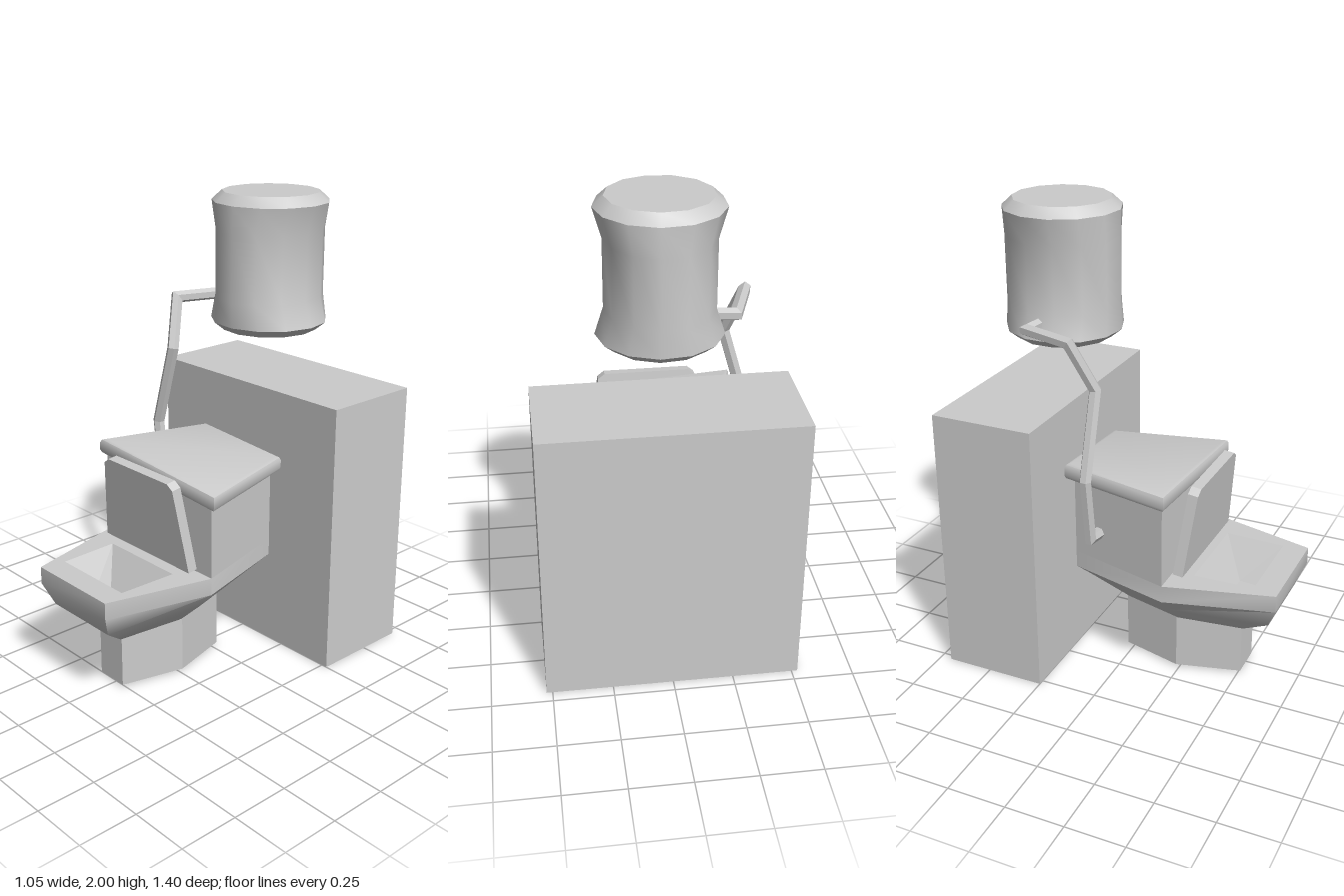
import * as THREE from 'three';
import { toCreasedNormals } from 'three/addons/utils/BufferGeometryUtils.js';

const V = (x, y, z) => new THREE.Vector3(x, y, z);
const CX = -0.0175; // centre line of the bowl, tank and lid

// Skin a list of equal-length rings, optionally closing the two ends.
function loft(rings, capStart = true, capEnd = true) {
  const pos = [];
  const tri = (...pts) => pts.forEach((p) => pos.push(p.x, p.y, p.z));
  const n = rings[0].length;
  for (let i = 0; i < rings.length - 1; i++) {
    for (let j = 0; j < n; j++) {
      const k = (j + 1) % n;
      const [a, b, c, d] = [rings[i][j], rings[i][k], rings[i + 1][k], rings[i + 1][j]];
      tri(a, b, c);
      tri(a, c, d);
    }
  }
  const first = rings[0], last = rings[rings.length - 1];
  for (let j = 1; j < n - 1; j++) {
    if (capStart) tri(first[0], first[j + 1], first[j]);
    if (capEnd) tri(last[0], last[j], last[j + 1]);
  }
  const geo = new THREE.BufferGeometry();
  geo.setAttribute('position', new THREE.Float32BufferAttribute(pos, 3));
  geo.computeVertexNormals();
  return geo;
}

// Mirrored ring from [z, halfWidth, y] stations, front to back.
function ring(...stations) {
  const right = stations.map(([z, w, y]) => V(CX + w, y, z));
  const left = stations.map(([z, w, y]) => V(CX - w, y, z)).reverse();
  return [...right, ...left];
}

// Mitred sweep of a regular polygon along a polyline.
function pipe(points, radius, sides) {
  const dirs = points.slice(1).map((p, i) => p.clone().sub(points[i]).normalize());
  const u = V(0, 1, 0).cross(dirs[0]).normalize();
  const v = dirs[0].clone().cross(u);
  const rings = [Array.from({ length: sides }, (_, j) => {
    const t = ((j + 0.5) / sides) * Math.PI * 2;
    return points[0].clone().addScaledVector(u, radius * Math.cos(t)).addScaledVector(v, radius * Math.sin(t));
  })];
  for (let i = 1; i < points.length; i++) {
    const d = dirs[i - 1];
    const normal = d.clone().add(dirs[i] || d).normalize();
    rings.push(rings[i - 1].map((p) => {
      const s = points[i].clone().sub(p).dot(normal) / d.dot(normal);
      return p.clone().addScaledVector(d, s);
    }));
  }
  return loft(rings);
}

const outline = (pts) => new THREE.Shape(pts.map(([x, y]) => new THREE.Vector2(x, y)));

export function createModel() {
  const model = new THREE.Group();
  const material = new THREE.MeshStandardMaterial({ color: 0xcccccc, side: THREE.DoubleSide });
  const add = (name, geo) => {
    const mesh = new THREE.Mesh(geo, material);
    mesh.name = name;
    model.add(mesh);
    return mesh;
  };

  // Block behind the bowl
  add('wallBlock', new THREE.BoxGeometry(1.05, 1.185, 0.45)).position.set(0, 0.5925, -0.475);

  // Hexagonal foot
  const foot = (yf, y) => ring([0.51, 0.073, yf], [0.235, 0.143, y], [-0.03, 0.073, y]);
  add('foot', loft([foot(0.01, 0.01), foot(0.24, 0.265)]));

  // Flared bowl with an upright rim
  const rim = (y) => ring([0.7, 0.218, y], [0.245, 0.338, y], [-0.207, 0.218, y]);
  add('bowl', toCreasedNormals(loft([
    ring([0.515, 0.073, 0.23], [0.24, 0.143, 0.255], [-0.02, 0.073, 0.255]),
    ring([0.66, 0.18, 0.35], [0.245, 0.27, 0.37], [-0.165, 0.18, 0.4]),
    rim(0.445),
    rim(0.52),
  ], true, false), 0.6));

  // Rim top with its opening, and the tapered basin inside
  const mouth = ring([0.595, 0.192, 0.52], [0.335, 0.2, 0.52]);
  const floor = ring([0.55, 0.077, 0.36], [0.437, 0.089, 0.36]);
  const flat = (pts) => outline(pts.map((p) => [p.x, -p.z]));
  const rimTop = flat(rim(0));
  rimTop.holes.push(flat(mouth));
  add('rimTop', new THREE.ShapeGeometry(rimTop).rotateX(-Math.PI / 2).translate(0, 0.52, 0));
  add('basin', loft([mouth, floor], false, true));

  // Tank tapering towards the back; its top follows the tilted lid
  const tank = (y, slope) => {
    const r = ring([0.245, 0.338, y], [-0.207, 0.218, y]);
    r.forEach((p) => { p.y -= slope * p.x; });
    return r;
  };
  add('tank', loft([tank(0.51, 0), tank(0.87, 0.07)]));

  // Tilted tank lid with rounded edges
  const lidShape = outline([[-0.347, -0.245], [0.347, -0.245], [0.225, 0.225], [-0.225, 0.225]]);
  const lidGeo = new THREE.ExtrudeGeometry(lidShape, {
    depth: 0.034, bevelSize: 0.02, bevelThickness: 0.018, bevelSegments: 2,
  }).translate(0, 0, -0.017).rotateX(-Math.PI / 2);
  const lid = add('tankLid', toCreasedNormals(lidGeo, 0.7));
  lid.position.set(-0.015, 0.885, 0);
  lid.rotation.z = -0.07;

  // Raised seat cover leaning forward
  const coverShape = outline([
    [-0.27, 0], [0.27, 0], [0.22, 0.36], [0.19, 0.383], [-0.19, 0.383], [-0.22, 0.36],
  ]);
  const cover = add('seatCover', new THREE.ExtrudeGeometry(coverShape, { depth: 0.044, bevelEnabled: false }));
  cover.position.set(-0.016, 0.546, 0.266);
  cover.rotation.x = 0.117;

  // Thirteen-sided cistern, pinched sideways between its end bands
  const profile = [
    [0, 1.42], [0.207, 1.42], [0.25, 1.455], [0.25, 1.56], [0.25, 1.84], [0.25, 1.96], [0.207, 2], [0, 2],
  ].map(([r, y]) => new THREE.Vector2(r, y));
  const cisternGeo = new THREE.LatheGeometry(profile, 13, Math.PI / 2);
  const p = cisternGeo.attributes.position;
  for (let i = 0; i < p.count; i++) {
    if (p.getY(i) > 1.5 && p.getY(i) < 1.9) p.setX(i, p.getX(i) * 0.86);
  }
  add('cistern', toCreasedNormals(cisternGeo, 0.6)).position.set(0.017, 0, -0.365);

  // Crooked flush pipe from the cistern to the side of the tank
  add('flushPipe', pipe([
    V(-0.15, 1.515, -0.37), V(-0.275, 1.515, -0.385), V(-0.35, 1.515, -0.16), V(-0.285, 1.31, -0.078),
    V(-0.388, 0.95, -0.078), V(-0.352, 0.67, -0.078), V(-0.24, 0.65, -0.078),
  ], 0.026, 6));

  return model;
}
